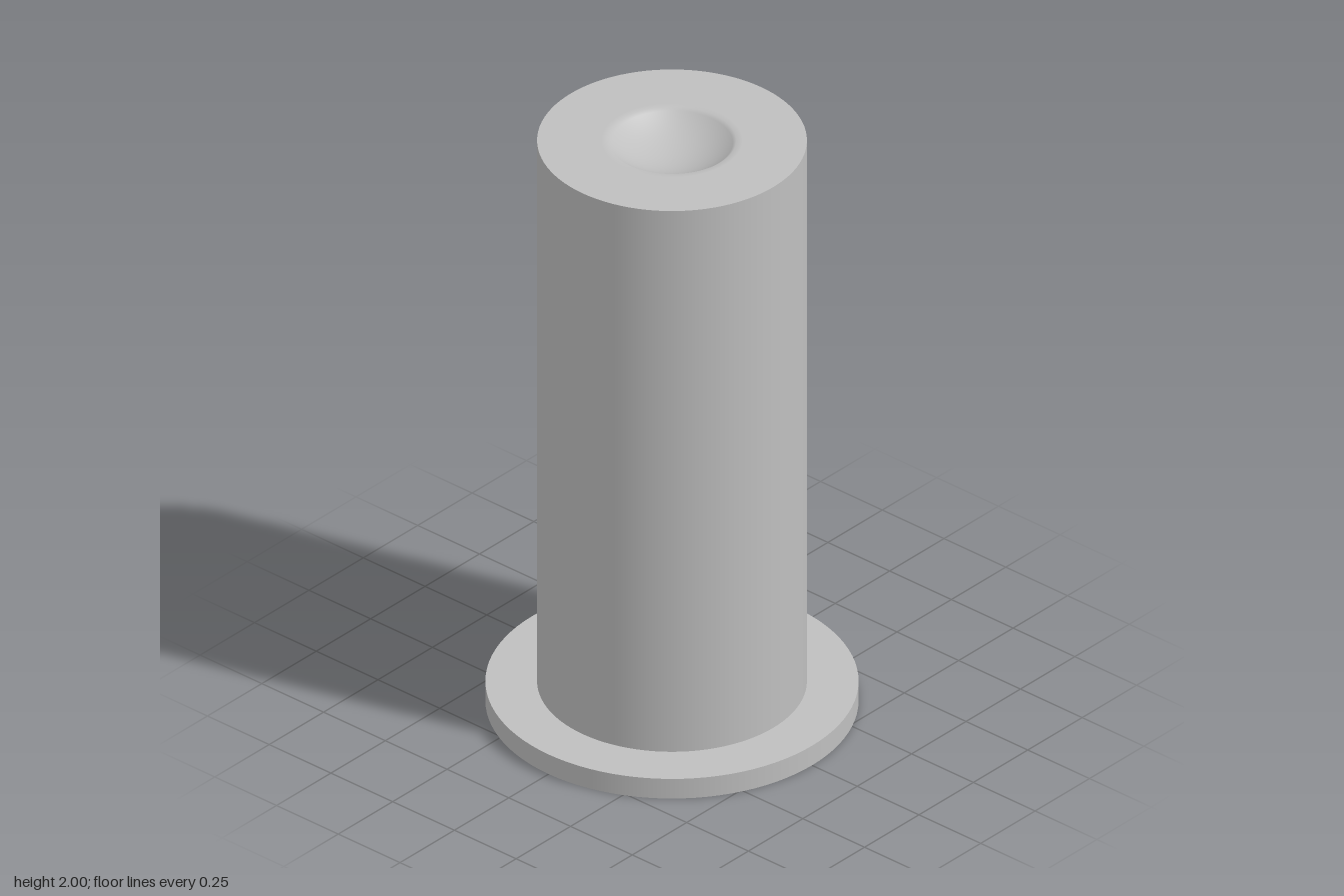
import * as THREE from 'three';

const FLANGE_R = 0.567, FLANGE_H = 0.07, TUBE_R = 0.41, BORE_R = 0.34;
const HEIGHT = 2, BORE_TOP = 1.85, DIMPLE_R = 0.195, DIMPLE_DEPTH = 0.07;

export function createModel() {
  const model = new THREE.Group();
  const grey = new THREE.MeshStandardMaterial({ color: 0xbfbfbf });
  grey.name = 'plain grey';

  // Each surface is its own lathe, so the edges between them stay sharp
  const turn = (name, profile, parent) => {
    const points = profile.map(([r, y]) => new THREE.Vector2(r, y));
    const mesh = new THREE.Mesh(new THREE.LatheGeometry(points, 96), grey);
    mesh.name = name;
    parent.add(mesh);
  };

  // Flange around the open foot
  const flange = new THREE.Group();
  flange.name = 'flange';
  turn('flangeUnderside', [[BORE_R, 0], [FLANGE_R, 0]], flange);
  turn('flangeRim', [[FLANGE_R, 0], [FLANGE_R, FLANGE_H]], flange);
  turn('flangeTop', [[FLANGE_R, FLANGE_H], [TUBE_R, FLANGE_H]], flange);

  // Tube wall and blind bore, open at the bottom
  const tube = new THREE.Group();
  tube.name = 'tube';
  turn('outerWall', [[TUBE_R, FLANGE_H], [TUBE_R, HEIGHT]], tube);
  turn('boreWall', [[BORE_R, BORE_TOP], [BORE_R, 0]], tube);
  turn('boreEnd', [[0, BORE_TOP], [BORE_R, BORE_TOP]], tube);

  // Flat cap running into a shallow spherical dimple
  const sphereR = (DIMPLE_R ** 2 + DIMPLE_DEPTH ** 2) / (2 * DIMPLE_DEPTH);
  const halfAngle = Math.asin(DIMPLE_R / sphereR);
  const cap = [[TUBE_R, HEIGHT], [DIMPLE_R + 0.02, HEIGHT]];
  const steps = 16;
  for (let i = 0; i <= steps; i++) {
    const a = halfAngle * (1 - i / steps);
    cap.push([sphereR * Math.sin(a), HEIGHT - DIMPLE_DEPTH + sphereR * (1 - Math.cos(a))]);
  }
  turn('dimpledCap', cap, tube);

  model.add(flange, tube);
  return model;
}
